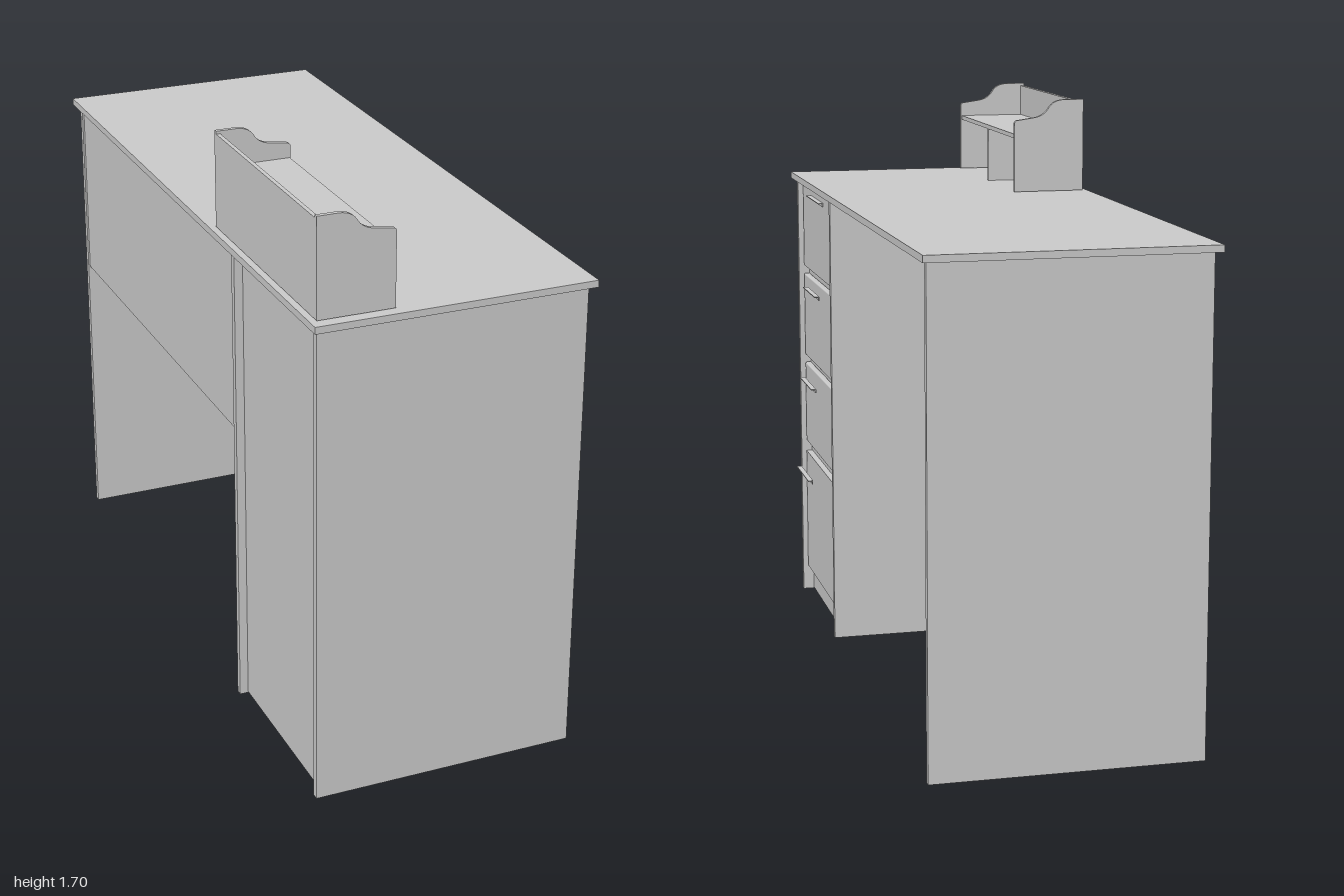
import * as THREE from 'three';
import { RoundedBoxGeometry } from 'three/addons/geometries/RoundedBoxGeometry.js';

const material = new THREE.MeshStandardMaterial({ color: 0xcccccc });

export function createModel() {
  const desk = new THREE.Group();
  desk.name = 'desk';

  const add = (name, geometry, parent = desk) => {
    const mesh = new THREE.Mesh(geometry, material);
    mesh.name = name;
    parent.add(mesh);
    return mesh;
  };
  // Board given by its limits on each axis; a radius rounds its edges
  const board = (name, [x0, x1], [y0, y1], [z0, z1], parent, radius = 0) => {
    const size = [x1 - x0, y1 - y0, z1 - z0];
    const geometry = radius
      ? new RoundedBoxGeometry(...size, 2, radius)
      : new THREE.BoxGeometry(...size);
    geometry.translate((x0 + x1) / 2, (y0 + y1) / 2, (z0 + z1) / 2);
    return add(name, geometry, parent);
  };

  // Desktop, upright panels and modesty panel
  board('desktop', [-0.42, 0.385], [1.402, 1.422], [-1, 1]);
  for (const [name, z] of [['outerCabinetSide', 0.955], ['innerCabinetSide', 0.375], ['legPanel', -0.97]]) {
    board(name, [-0.405, 0.37], [0, 1.402], [z, z + 0.02]);
  }
  board('modestyPanel', [-0.4, -0.38], [0.86, 1.402], [-0.95, 0.375]);

  // Drawer cabinet, set back a little from the edges of its sides
  board('cabinetBody', [-0.38, 0.335], [0.003, 1.402], [0.395, 0.955]);

  // Drawers from top to bottom, each handle standing a little further out
  const drawers = [[1.115, 1.39], [0.815, 1.09], [0.52, 0.79], [0.085, 0.485]];
  drawers.forEach(([y0, y1], i) => {
    const drawer = new THREE.Group();
    drawer.name = `drawer${i + 1}`;
    desk.add(drawer);
    board('drawerFront', [0.335, 0.355], [y0, y1], [0.402, 0.947], drawer, i < 3 ? 0.005 : 0);
    const x = 0.356 + i * 0.0145;
    const y = 1.367 - i * 0.299;
    const z = [0.573, 0.787];
    board('handleLip', [x, x + 0.016], [y - 0.003, y], z, drawer);
    board('handlePlate', [x, x + 0.003], [y - 0.012, y - 0.003], z, drawer);
  });

  // Small shelf unit on the desktop
  const hutch = new THREE.Group();
  hutch.name = 'shelfUnit';
  desk.add(hutch);

  // End panel outline with a swept upper edge
  const outline = new THREE.Shape();
  outline.moveTo(-0.402, 1.424);
  outline.lineTo(-0.184, 1.424);
  outline.lineTo(-0.184, 1.632);
  outline.quadraticCurveTo(-0.184, 1.643, -0.196, 1.643);
  outline.lineTo(-0.245, 1.65);
  outline.quadraticCurveTo(-0.275, 1.654, -0.29, 1.676);
  outline.quadraticCurveTo(-0.305, 1.704, -0.345, 1.704);
  outline.lineTo(-0.402, 1.704);
  outline.closePath();
  for (const z of [0.252, 0.955]) {
    const end = new THREE.ExtrudeGeometry(outline, { depth: 0.013, bevelEnabled: false, curveSegments: 8 });
    add('shelfEnd', end.translate(0, 0, z), hutch);
  }
  const span = [0.265, 0.955];
  board('shelfBack', [-0.402, -0.39], [1.424, 1.696], span, hutch);
  board('shelf', [-0.39, -0.187], [1.587, 1.6], span, hutch);
  board('shelfDivider', [-0.39, -0.187], [1.422, 1.587], [0.594, 0.605], hutch);

  return desk;
}
